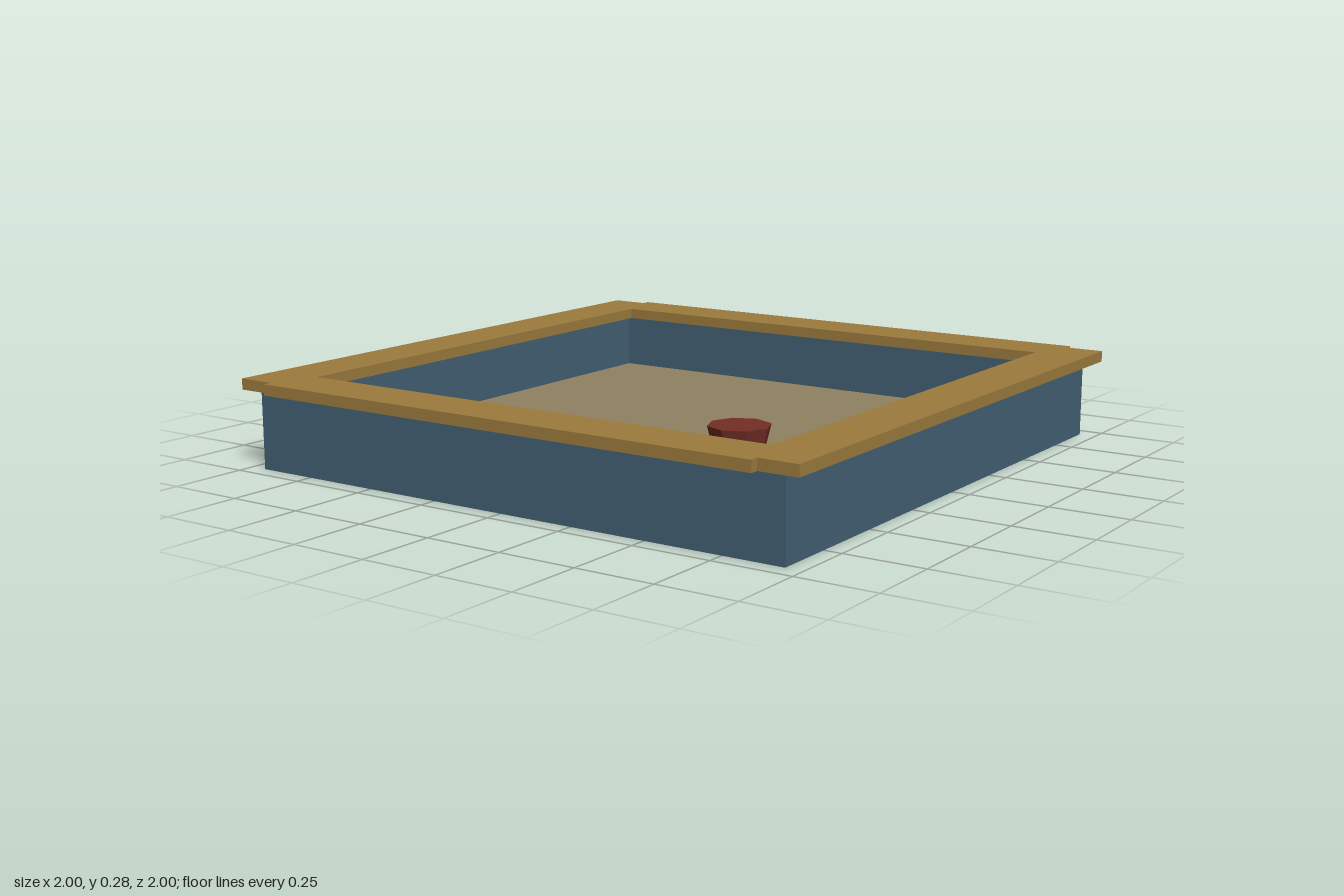
import * as THREE from 'three';

export function createModel() {
  const model = new THREE.Group();
  model.name = 'sandbox';

  const material = (name, color) => {
    const m = new THREE.MeshStandardMaterial({ color });
    m.name = name;
    return m;
  };
  const wallBlue = material('wallBlue', 0x426074);
  const railWood = material('railWood', 0x9c7b3e);
  const sandTan = material('sandTan', 0x908262);
  const bucketRed = material('bucketRed', 0x742e25);
  bucketRed.flatShading = true;

  const add = (name, geometry, mat, x, y, z) => {
    const mesh = new THREE.Mesh(geometry, mat);
    mesh.name = name;
    mesh.position.set(x, y, z);
    model.add(mesh);
    return mesh;
  };

  const outer = 0.945, thick = 0.075, wallH = 0.25, railH = 0.035;
  const inner = outer - thick;

  // Walls: the side walls run full depth, the end walls fit between them
  for (const s of [1, -1]) {
    add(s > 0 ? 'leftWall' : 'rightWall', new THREE.BoxGeometry(thick, wallH, outer * 2),
      wallBlue, s * (outer - thick / 2), wallH / 2, 0);
    add(s > 0 ? 'frontWall' : 'backWall', new THREE.BoxGeometry(inner * 2, wallH, thick),
      wallBlue, 0, wallH / 2, s * (outer - thick / 2));
  }

  // Sand filling the floor
  const sandH = 0.065;
  add('sand', new THREE.BoxGeometry(inner * 2, sandH, inner * 2), sandTan, 0, sandH / 2, 0);

  // Seat rail: one flat frame with a small notch at each corner
  const nx = 0.875, nz = 0.972, hole = 0.826;
  const points = (list) => list.map(([x, y]) => new THREE.Vector2(x, y));
  const frame = new THREE.Shape(points([
    [-nx, -1], [nx, -1], [nx, -nz], [1, -nz], [1, nz], [nx, nz],
    [nx, 1], [-nx, 1], [-nx, nz], [-1, nz], [-1, -nz], [-nx, -nz],
  ]));
  frame.holes.push(new THREE.Path(points([
    [-hole, -hole], [-hole, hole], [hole, hole], [hole, -hole],
  ])));
  const railGeometry = new THREE.ExtrudeGeometry(frame, { depth: railH, bevelEnabled: false });
  railGeometry.rotateX(-Math.PI / 2);
  add('seatRail', railGeometry, railWood, 0, wallH, 0);

  // Upturned-wide toy bucket standing in the sand
  const bucketTop = 0.17, bucketH = bucketTop - sandH;
  add('bucket', new THREE.CylinderGeometry(0.1, 0.073, bucketH, 8),
    bucketRed, 0.34, sandH + bucketH / 2, 0.225);

  return model;
}
